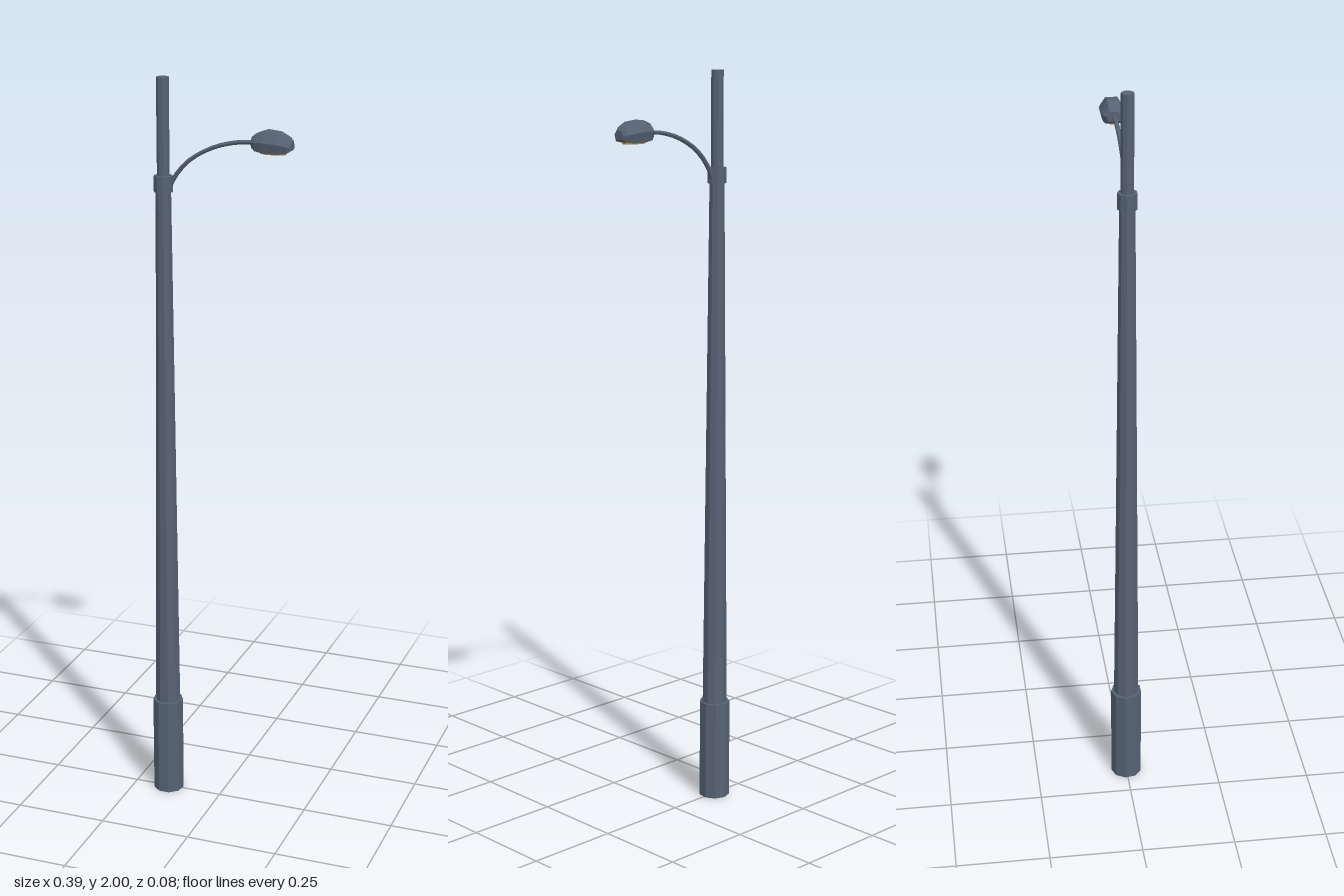
import * as THREE from 'three';

const POLE_X = -0.153;
const SIDES = 9;
const metal = new THREE.MeshStandardMaterial({ color: 0x566273, flatShading: true });
const glass = new THREE.MeshStandardMaterial({ color: 0xc8a850, flatShading: true });

function add(group, name, geometry, material = metal) {
  const mesh = new THREE.Mesh(geometry, material);
  mesh.name = name;
  group.add(mesh);
  return mesh;
}

// Tapered nine-sided post section between two heights
function postSection(group, name, y0, y1, r0, r1) {
  const g = new THREE.CylinderGeometry(r1, r0, y1 - y0, SIDES);
  g.rotateY(Math.PI);
  g.translate(POLE_X, (y0 + y1) / 2, 0);
  return add(group, name, g);
}

// Faceted lamp housing lofted along x; sections are [x, half width, top y, middle y, bottom y]
function housingGeometry(sections) {
  const positions = [], index = [];
  for (const [x, w, top, mid, low] of sections) {
    const ring = [[top, -w * 0.5], [top, w * 0.5], [mid, w], [low, w * 0.8], [low, -w * 0.8], [mid, -w]];
    for (const [y, z] of ring) positions.push(x, y, z);
  }
  const n = 6, last = (sections.length - 1) * n;
  for (let i = 0; i < last; i += n) {
    for (let j = 0; j < n; j++) {
      const a = i + j, b = i + (j + 1) % n;
      index.push(a, b, a + n, b, b + n, a + n);
    }
  }
  for (let j = 1; j < n - 1; j++) {
    index.push(0, j + 1, j, last, last + j, last + j + 1);
  }
  const g = new THREE.BufferGeometry();
  g.setAttribute('position', new THREE.Float32BufferAttribute(positions, 3));
  g.setIndex(index);
  const flat = g.toNonIndexed();
  flat.computeVertexNormals();
  return flat;
}

export function createModel() {
  const model = new THREE.Group();
  model.name = 'streetLamp';

  // Post
  postSection(model, 'base', 0, 0.275, 0.042, 0.042);
  postSection(model, 'pole', 0.275, 1.72, 0.034, 0.02);
  postSection(model, 'collar', 1.708, 1.75, 0.025, 0.025);
  postSection(model, 'poleTop', 1.75, 2, 0.0165, 0.0165);

  // Curved arm
  const path = new THREE.CatmullRomCurve3([
    [-0.14, 1.715], [-0.116, 1.757], [-0.08, 1.795], [-0.02, 1.829], [0.04, 1.846], [0.1, 1.851],
  ].map(([x, y]) => new THREE.Vector3(x, y, 0)));
  add(model, 'arm', new THREE.TubeGeometry(path, 12, 0.006, 6));

  // Lamp head
  const head = new THREE.Group();
  head.name = 'lampHead';
  model.add(head);
  add(head, 'housing', housingGeometry([
    [0.089, 0.02, 1.865, 1.853, 1.84],
    [0.1, 0.028, 1.874, 1.854, 1.832],
    [0.125, 0.031, 1.883, 1.855, 1.828],
    [0.16, 0.031, 1.879, 1.852, 1.827],
    [0.184, 0.027, 1.867, 1.848, 1.831],
    [0.193, 0.015, 1.859, 1.847, 1.837],
  ]));

  // Glass panel under the head
  const lens = add(head, 'lens', new THREE.CylinderGeometry(1, 0.9, 0.005, 8).rotateY(Math.PI / 8), glass);
  lens.scale.set(0.038, 1, 0.021);
  lens.position.set(0.143, 1.8265, 0);

  return model;
}
